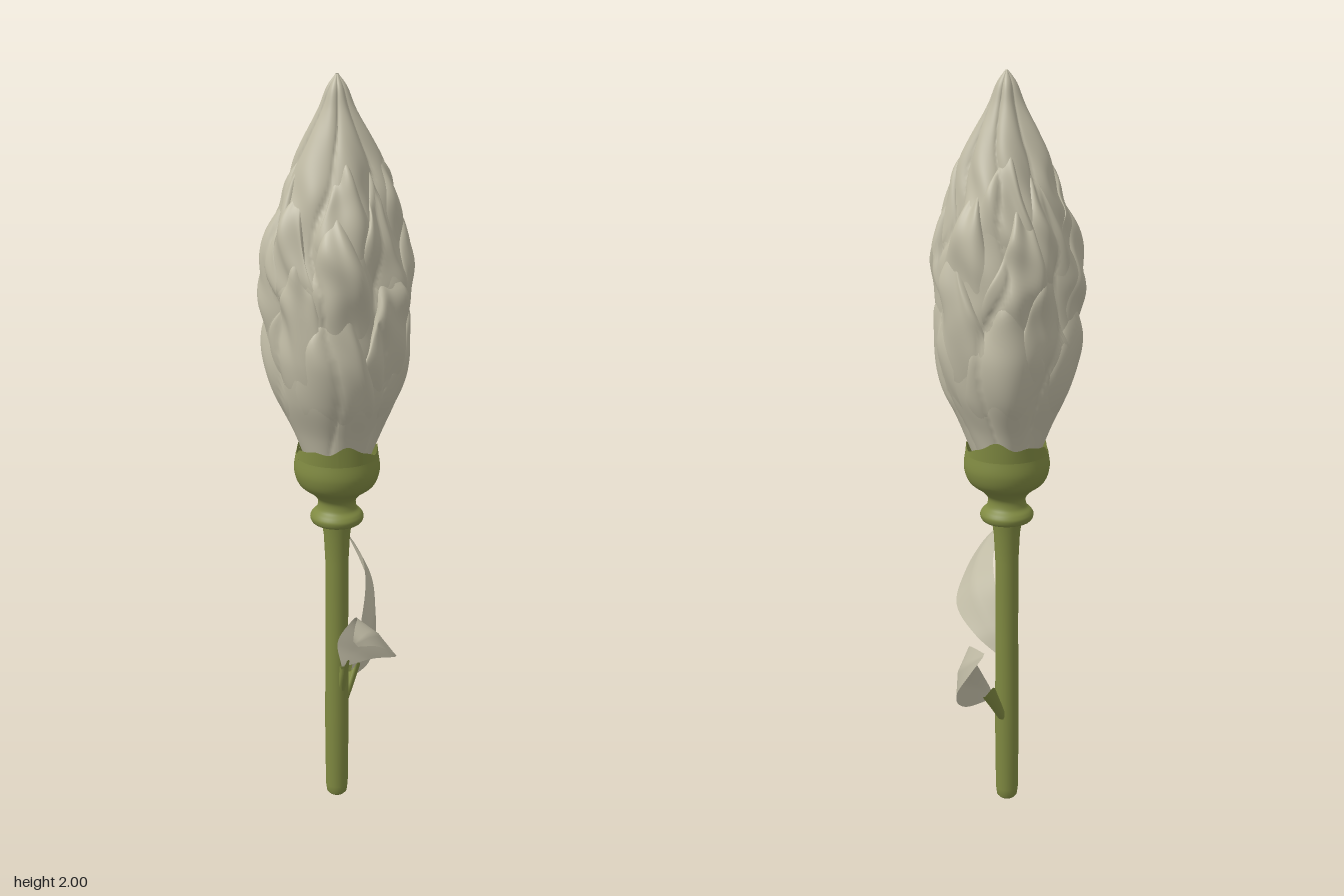
import * as THREE from 'three';

const mat = (name, color) => {
  const m = new THREE.MeshStandardMaterial({ color, side: THREE.DoubleSide });
  m.name = name;
  return m;
};
const v3 = (a) => new THREE.Vector3(...a);

// Grid surface from a rule f(u, v) -> [x, y, z]; u runs across, v runs upward
function surface(f, nu, nv) {
  const pos = [], idx = [];
  for (let j = 0; j <= nv; j++)
    for (let i = 0; i <= nu; i++) pos.push(...f(i / nu, j / nv));
  for (let j = 0; j < nv; j++)
    for (let i = 0; i < nu; i++) {
      const a = j * (nu + 1) + i, b = a + nu + 1;
      idx.push(a, a + 1, b, a + 1, b + 1, b);
    }
  const g = new THREE.BufferGeometry();
  g.setAttribute('position', new THREE.Float32BufferAttribute(pos, 3));
  g.setIndex(idx);
  g.computeVertexNormals();
  return g;
}

// Bud outline: [height, half width in x, half width in z]
const outline = new THREE.CatmullRomCurve3([
  [1.03, 0.088, 0.09], [1.1, 0.116, 0.108], [1.2, 0.158, 0.145], [1.3, 0.176, 0.159],
  [1.4, 0.172, 0.15], [1.5, 0.174, 0.15], [1.6, 0.16, 0.138], [1.7, 0.132, 0.109],
  [1.78, 0.108, 0.084], [1.85, 0.076, 0.061], [1.92, 0.042, 0.037], [1.97, 0.023, 0.023], [2, 0.003, 0.003],
].map(v3));
const rings = outline.getPoints(240);
function budRadii(y) {
  let i = 1;
  while (i < rings.length - 1 && rings[i].x < y) i++;
  const a = rings[i - 1], b = rings[i];
  const t = THREE.MathUtils.clamp((y - a.x) / (b.x - a.x || 1), 0, 1);
  return [a.y + (b.y - a.y) * t, a.z + (b.z - a.z) * t];
}

// Broad wandering pleats: smooth below, crinkled in the middle, deeply furrowed at the tip
function folds(a, y) {
  const rough = THREE.MathUtils.smoothstep(y, 1.25, 1.5);
  const tip = THREE.MathUtils.smoothstep(y, 1.7, 1.86);
  const w = a + 0.2 * Math.sin(y * 9 + a) + 0.08 * rough * (1 - tip) * Math.sin(y * 24 - 2 * a);
  const pleat = Math.sqrt(Math.abs(Math.sin(3 * w + 0.6)));
  const crinkle = Math.sin(6 * w + y * 8) * Math.sin(y * 25 + 2 * a);
  const lobes = 0.045 * Math.cos(4 * a) - 0.035 * Math.sin(2 * a);
  return 0.89 - 0.09 * tip + (0.09 + 0.05 * rough + 0.12 * tip) * pleat
    + (0.01 + 0.05 * rough * (1 - 0.7 * tip)) * crinkle + lobes;
}
function budPoint(a, y, push = 0) {
  const [rx, rz] = budRadii(y), k = folds(a, y);
  return [Math.sin(a) * (rx * k + push), y, Math.cos(a) * (rz * k + push)];
}

// Petal hugging the bud, with a puckered lip at its tip
function petal(angle, width, y0, y1, lift, seed) {
  return surface((u, v) => {
    const s = 2 * u - 1;
    const spread = width * Math.pow(Math.sin(Math.PI * (0.16 + 0.68 * v)), 0.6);
    const a = angle + s * spread + 0.08 * Math.sin(v * 6 + seed);
    const top = y1 - 0.1 * s * s + 0.012 * Math.sin(s * 6 + seed * 2);
    const y = y0 + (top - y0) * v;
    const curl = lift * (0.15 + 0.85 * v) * (1 - 0.75 * Math.pow(Math.abs(s), 3))
      + 0.005 * v * Math.sin(s * 6 + seed * 3 + v * 5);
    return budPoint(a, y, curl - 0.016 * Math.pow(1 - v, 3) - 0.02 * Math.pow(v, 10));
  }, 24, 30);
}

// Leaf spanned between two edge curves, with a sunken midrib
function leaf(edgeA, edgeB, dip) {
  const ca = new THREE.CatmullRomCurve3(edgeA.map(v3));
  const cb = new THREE.CatmullRomCurve3(edgeB.map(v3));
  return surface((u, v) => {
    const p = ca.getPoint(v).lerp(cb.getPoint(v), u);
    const d = Math.sin(Math.PI * v) * (1 - Math.abs(2 * u - 1));
    return [p.x + dip[0] * d, p.y + dip[1] * d, p.z + dip[2] * d];
  }, 10, 32);
}

export function createModel() {
  const model = new THREE.Group();
  const green = mat('stem green', 0x7f8941);
  const cream = mat('petal cream', 0xc0bba5);
  const add = (name, geo, m, parent = model) => {
    const mesh = new THREE.Mesh(geo, m);
    mesh.name = name;
    parent.add(mesh);
    return mesh;
  };

  // Stem with a blunt foot, swelling gently under the collar
  add('stem', new THREE.LatheGeometry([
    [0, 0.004], [0.022, 0.005], [0.028, 0.012], [0.031, 0.035], [0.033, 0.25], [0.031, 0.5],
    [0.031, 0.72], [0.035, 0.8], [0.042, 0.85],
  ].map((p) => new THREE.Vector2(...p)), 28), green);

  // Collar, neck and swollen cup
  const cupCurve = new THREE.SplineCurve([
    [0.03, 0.838], [0.062, 0.84], [0.071, 0.855], [0.066, 0.868], [0.053, 0.882], [0.051, 0.905],
    [0.068, 0.926], [0.1, 0.952], [0.113, 0.99], [0.109, 1.03],
  ].map((p) => new THREE.Vector2(...p)));
  add('cup', new THREE.LatheGeometry(cupCurve.getPoints(50), 48), green);

  // Ragged rim of the cup, higher at front and back
  add('cupRim', surface((u, v) => {
    const a = u * Math.PI * 2;
    const h = 0.03 + 0.016 * Math.cos(2 * a) + 0.008 * Math.sin(5 * a) + 0.004 * Math.sin(9 * a);
    const r = 0.109 + 0.003 * v * Math.cos(2 * a);
    return [Math.sin(a) * r, 1.03 + h * v, Math.cos(a) * r];
  }, 72, 4), green);

  // Bud core, pleated up to a pointed tip
  const bud = new THREE.Group();
  bud.name = 'bud';
  model.add(bud);
  add('budCore', surface((u, v) => budPoint(u * Math.PI * 2, 1.03 + 0.97 * v), 144, 130), cream, bud);

  // Overlapping petal rings: [count, half width, base, tip, lift, turn]
  [[4, 0.68, 1.04, 1.45, 0.013, 0], [4, 0.5, 1.15, 1.54, 0.019, 0.78], [4, 0.45, 1.28, 1.68, 0.019, 0.1],
    [4, 0.42, 1.4, 1.74, 0.015, 0.8], [4, 0.5, 1.5, 1.81, 0.012, 0.05],
  ].forEach(([n, w, y0, y1, lift, turn], r) => {
    for (let i = 0; i < n; i++) {
      const seed = r * 2.3 + i * 1.7;
      const a = turn + (i / n) * Math.PI * 2 + 0.1 * Math.sin(seed);
      add('petal', petal(a, w, y0, y1 + 0.025 * Math.sin(seed * 2), lift, seed), cream, bud);
    }
  });

  // Front leaf, tilted with its inner edge raised
  add('frontLeaf', leaf(
    [[0.012, 0.42, 0.032], [0.0, 0.5, 0.047], [0.035, 0.597, 0.11], [0.045, 0.65, 0.2], [0.034, 0.673, 0.3], [0.025, 0.686, 0.4]],
    [[0.02, 0.42, 0.032], [0.09, 0.465, 0.075], [0.148, 0.518, 0.165], [0.13, 0.578, 0.255], [0.088, 0.635, 0.33], [0.037, 0.672, 0.402]],
    [0.008, 0.01, 0.006]), cream);

  // Back leaf, standing nearly upright and bowed outward
  add('backLeaf', leaf(
    [[0.04, 0.335, -0.055], [0.098, 0.35, -0.13], [0.121, 0.4, -0.21], [0.117, 0.475, -0.295], [0.087, 0.55, -0.36], [0.046, 0.628, -0.402]],
    [[0.044, 0.37, -0.055], [0.074, 0.475, -0.135], [0.09, 0.55, -0.215], [0.086, 0.6, -0.28], [0.067, 0.622, -0.34], [0.042, 0.638, -0.4]],
    [0.012, 0, 0]), cream);

  // Leaf stalks, each widening into a shallow sheath around the leaf base
  const stalk = (name, pts, r0, r1) => {
    const path = new THREE.CatmullRomCurve3(pts.map(v3));
    add(name, surface((u, v) => {
      const a = u * Math.PI * 2, p = path.getPoint(v), r = r0 + (r1 - r0) * v;
      return [p.x + r * Math.sin(a), p.y + 0.015 * v * Math.sin(2 * a), p.z + r * Math.cos(a)];
    }, 16, 12), green);
  };
  stalk('frontLeafStalk', [[0.012, 0.34, 0.018], [0.016, 0.39, 0.032], [0.02, 0.435, 0.04]], 0.01, 0.013);
  stalk('backLeafStalk', [[0.012, 0.26, -0.02], [0.028, 0.31, -0.042], [0.048, 0.37, -0.072]], 0.012, 0.02);

  return model;
}
